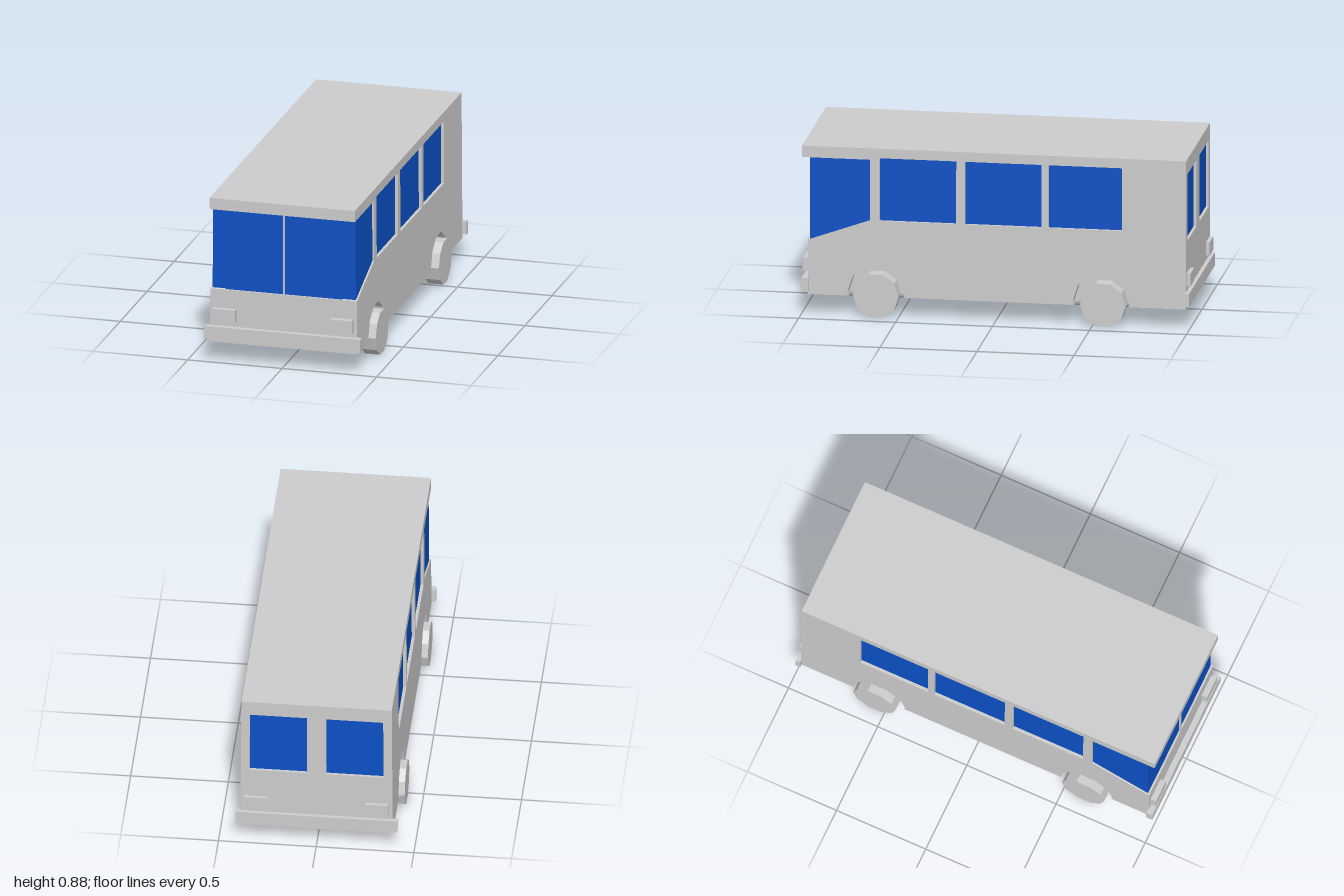
import * as THREE from 'three';

const paint = new THREE.MeshStandardMaterial({ color: 0xcccccc, flatShading: true });
const glass = new THREE.MeshStandardMaterial({ color: 0x0b50c4, flatShading: true });

const toShape = (pts, Type = THREE.Shape) => new Type(pts.map(([a, b]) => new THREE.Vector2(a, b)));
const rect = (a0, a1, b0, b1) => toShape([[a0, b0], [a0, b1], [a1, b1], [a1, b0]], THREE.Path);

// The sides lean in very slightly towards the roof
function lean(geo) {
  const p = geo.attributes.position;
  for (let i = 0; i < p.count; i++) p.setX(i, p.getX(i) * (1 - 0.0165 * (p.getY(i) - 0.1)));
  return geo;
}

function box(x0, x1, y0, y1, z0, z1) {
  return new THREE.BoxGeometry(x1 - x0, y1 - y0, z1 - z0)
    .translate((x0 + x1) / 2, (y0 + y1) / 2, (z0 + z1) / 2);
}

// Extrude a (z, y) profile across x0..x1
function across(shape, x0, x1) {
  return new THREE.ExtrudeGeometry(shape, { depth: x1 - x0, bevelEnabled: false })
    .rotateY(-Math.PI / 2).translate(x1, 0, 0);
}

// Faceted wheel arch running from back to front along the lower edge
function arch(zc) {
  const r = 0.147, pts = [[zc - 0.141, 0.1]];
  for (let i = 5; i >= 0; i--) {
    const a = i * Math.PI / 5;
    pts.push([zc + r * Math.cos(a), 0.12 + r * Math.sin(a)]);
  }
  pts.push([zc + 0.141, 0.1]);
  return pts;
}

export function createModel() {
  const group = new THREE.Group();
  const add = (name, geo, mat = paint) => {
    const mesh = new THREE.Mesh(geo, mat);
    mesh.name = name;
    group.add(mesh);
    return mesh;
  };

  // Central body: floor, roof with front overhang, lower front
  const nose = [[0.97, 0.1], [0.97, 0.385]];
  const roofEdge = [[1, 0.82], [1, 0.88], [-0.94, 0.88]];
  add('bodyCore', lean(across(toShape(
    [[-0.94, 0.1], ...nose, [0.64, 0.385], [0.64, 0.82], ...roofEdge]), -0.31, 0.31)));

  // Thick side walls with wheel arches, cab opening and three windows
  const wall = toShape([[-0.94, 0.1], ...arch(-0.543), ...arch(0.618), ...nose,
    [0.65, 0.5], [0.65, 0.82], ...roofEdge]);
  for (const [z0, z1] of [[0.205, 0.6], [-0.235, 0.16], [-0.65, -0.27]])
    wall.holes.push(rect(z0, z1, 0.5, 0.83));
  add('leftWall', lean(across(wall, 0.31, 0.39)));
  add('rightWall', lean(across(wall, -0.39, -0.31)));

  // Back panel with two windows
  const back = toShape([[-0.39, 0.1], [0.39, 0.1], [0.39, 0.88], [-0.39, 0.88]]);
  back.holes.push(rect(0.05, 0.345, 0.45, 0.8), rect(-0.345, -0.05, 0.45, 0.8));
  add('backPanel', lean(new THREE.ExtrudeGeometry(back, { depth: 0.04, bevelEnabled: false })
    .translate(0, 0, -0.98)));

  // Glass blocks set just inside the openings
  add('cabGlass', lean(box(-0.381, 0.381, 0.384, 0.821, 0.63, 0.96)), glass);
  add('sideGlass', lean(box(-0.374, 0.374, 0.49, 0.84, -0.67, 0.62)), glass);
  add('backGlass', lean(box(-0.36, 0.36, 0.44, 0.81, -0.965, -0.935)), glass);
  add('windscreenDivider', box(-0.004, 0.004, 0.385, 0.82, 0.955, 0.97));

  // Bumpers and lights at both ends
  for (const [end, z0, z1] of [['front', 0.965, 1], ['back', -1, -0.975]]) {
    add(end + 'Bumper', box(-0.413, 0.413, 0.12, 0.19, z0, z1));
    add(end + 'LeftLight', box(0.25, 0.37, 0.217, 0.286, z0, z1));
    add(end + 'RightLight', box(-0.37, -0.25, 0.217, 0.286, z0, z1));
  }

  // Ten-sided wheels
  const wheel = new THREE.CylinderGeometry(0.118, 0.118, 0.08, 10).rotateZ(Math.PI / 2);
  for (const [end, z] of [['front', 0.615], ['back', -0.556]])
    for (const [side, x] of [['Left', 0.38], ['Right', -0.38]])
      add(end + side + 'Wheel', wheel).position.set(x, 0.112, z);

  return group;
}
